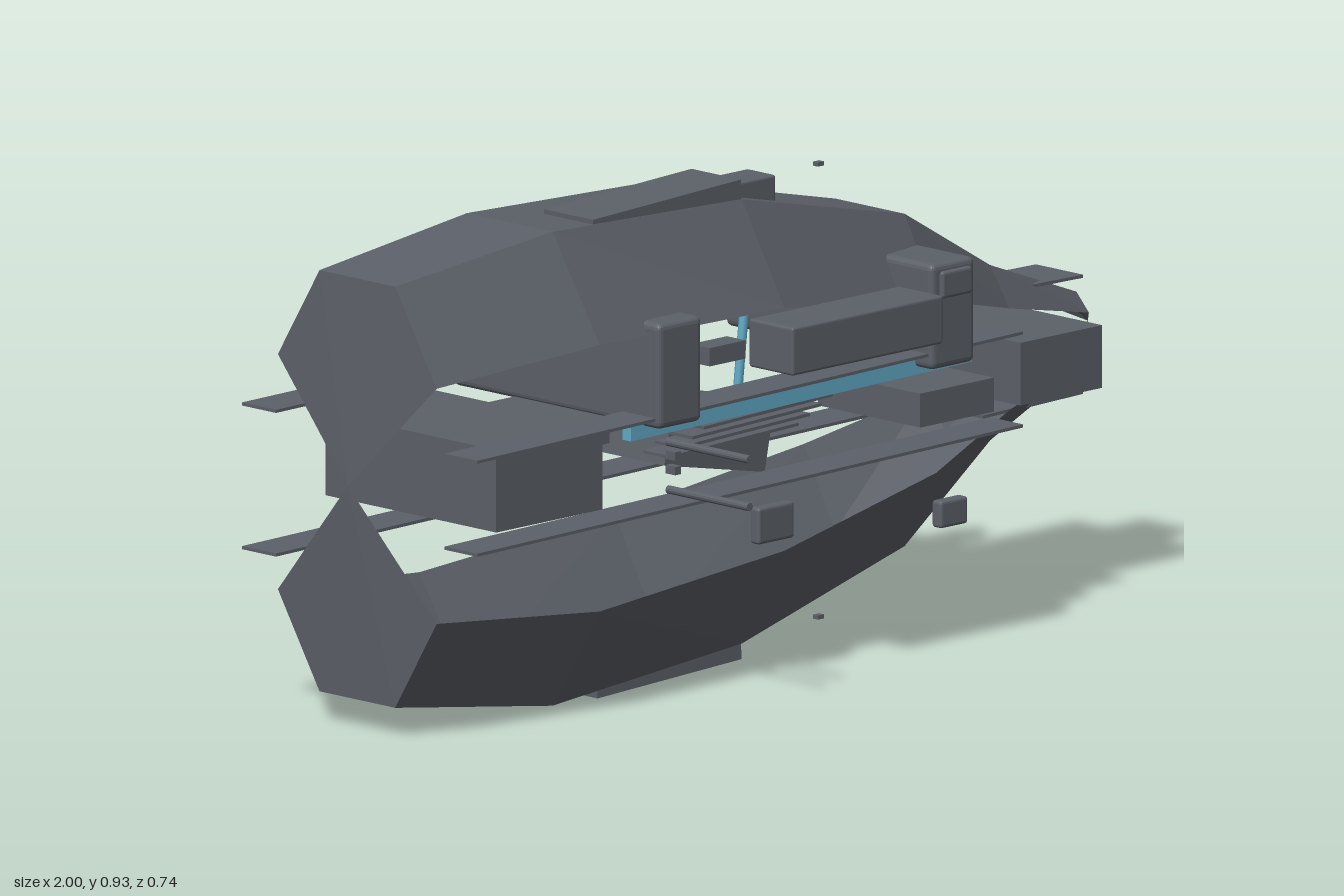
import * as THREE from 'three';
import { RoundedBoxGeometry } from 'three/addons/geometries/RoundedBoxGeometry.js';

const hullGrey = new THREE.MeshStandardMaterial({ color: 0x5c6068, flatShading: true, side: THREE.DoubleSide });
hullGrey.name = 'hullGrey';
const conduitBlue = new THREE.MeshStandardMaterial({ color: 0x62abc8 });
conduitBlue.name = 'conduitBlue';

// Hull stations: x, z centre, shoulder half width, ridge half width,
// upper shoulder y, upper ridge y, lower shoulder y, lower ridge y
const stations = [
  [-0.96, -0.10, 0, 0, 0.475, 0.475, 0.475, 0.475],
  [-0.935, -0.10, 0.21, 0.10, 0.69, 0.868, 0.24, 0.062],
  [-0.55, -0.083, 0.238, 0.113, 0.72, 0.917, 0.21, 0.01],
  [-0.05, -0.083, 0.225, 0.113, 0.71, 0.90, 0.245, 0.05],
  [0.40, -0.083, 0.175, 0.092, 0.645, 0.798, 0.315, 0.162],
  [0.67, -0.095, 0.11, 0.06, 0.575, 0.65, 0.38, 0.315],
  [0.93, -0.105, 0.07, 0.037, 0.518, 0.553, 0.438, 0.405],
  [1.0, -0.108, 0, 0, 0.48, 0.48, 0.48, 0.48],
];

// Lofted half shell, open along the sides
function hullShell(name, upper) {
  const rings = stations.map(([x, zc, ws, wt, us, ut, ls, lt]) => {
    const s = upper ? us : ls, t = upper ? ut : lt;
    const ring = [[x, s, zc + ws], [x, t, zc + wt], [x, t, zc - wt], [x, s, zc - ws]];
    return upper ? ring : ring.reverse();
  });
  const pos = [];
  for (let i = 0; i < rings.length - 1; i++) {
    for (let j = 0; j < 3; j++) {
      const a = rings[i][j], b = rings[i + 1][j], c = rings[i + 1][j + 1], d = rings[i][j + 1];
      if (i > 0) pos.push(...a, ...b, ...d);
      if (i < rings.length - 2) pos.push(...b, ...c, ...d);
    }
  }
  const geo = new THREE.BufferGeometry();
  geo.setAttribute('position', new THREE.Float32BufferAttribute(pos, 3));
  geo.computeVertexNormals();
  const mesh = new THREE.Mesh(geo, hullGrey);
  mesh.name = name;
  return mesh;
}

// Box from its extents, optionally rounded and tilted about z
function block(name, [x0, x1], [y0, y1], [z0, z1], { tilt = 0, radius = 0, material = hullGrey } = {}) {
  const size = [x1 - x0, y1 - y0, z1 - z0];
  const geo = radius ? new RoundedBoxGeometry(...size, 2, radius) : new THREE.BoxGeometry(...size);
  const mesh = new THREE.Mesh(geo, material);
  mesh.position.set((x0 + x1) / 2, (y0 + y1) / 2, (z0 + z1) / 2);
  mesh.rotation.z = tilt;
  mesh.name = name;
  return mesh;
}

// Thin plate running from height ya to height yb
function plate(name, [x0, x1], ya, yb, z) {
  const y = (ya + yb) / 2;
  return block(name, [x0, x1], [y - 0.003, y + 0.003], z, { tilt: Math.atan2(yb - ya, x1 - x0) });
}

export function createModel() {
  const g = new THREE.Group();
  g.name = 'spacecraft';
  g.add(hullShell('upperHull', true), hullShell('lowerHull', false));

  // Transverse pylons through the upper hull
  for (const x of [[-0.42, -0.305], [0.3, 0.415]])
    g.add(block('pylon', x, [0.54, 0.742], [-0.367, 0.182], { radius: 0.012 }));

  // Internal machinery blocks
  g.add(
    block('engineBlock', [-0.8, -0.52], [0.397, 0.555], [-0.32, 0.132]),
    block('engineCoupling', [-0.52, -0.42], [0.495, 0.545], [-0.2, 0.05]),
    block('reactor', [-0.215, 0.055], [0.385, 0.51], [-0.18, 0.0], { tilt: -0.2 }),
    block('forwardLocker', [0.4, 0.595], [0.395, 0.46], [-0.22, 0.05]),
    block('noseBlock', [0.66, 0.875], [0.397, 0.517], [-0.26, 0.055]),
  );

  // Long side plates and nose fins
  g.add(
    plate('rearPlateUpper', [-1, 0.6], 0.6, 0.613, [-0.34, -0.25]),
    plate('rearPlateLower', [-1, 0.6], 0.325, 0.345, [-0.34, -0.25]),
    plate('frontPlateUpper', [-0.89, 0.55], 0.552, 0.572, [0.085, 0.172]),
    plate('frontPlateLower', [-0.89, 0.55], 0.374, 0.394, [0.085, 0.172]),
    plate('noseFinUpper', [0.65, 0.915], 0.594, 0.59, [-0.16, -0.035]),
    plate('noseFinLower', [0.65, 0.915], 0.362, 0.368, [-0.16, -0.035]),
  );

  // Dorsal and ventral fairings following the hull slope
  g.add(
    block('dorsalFairing', [-0.44, -0.05], [0.878, 0.93], [-0.102, 0.028], { tilt: 0.04 }),
    block('dorsalHousing', [-0.05, 0.075], [0.865, 0.922], [-0.08, -0.005], { radius: 0.005 }),
    block('ventralFairing', [-0.43, -0.05], [0.012, 0.06], [-0.102, 0.028], { tilt: 0.04 }),
    block('ventralBox', [-0.18, -0.08], [0.012, 0.026], [-0.135, -0.105]),
  );
  for (const y of [0.045, 0.912])
    g.add(block('sensorStud', [0.222, 0.238], [y - 0.004, y + 0.004], [-0.055, -0.042]));

  // Free-standing side panel and small pods
  g.add(
    block('sidePanel', [-0.2, 0.197], [0.63, 0.722], [0.198, 0.315], { radius: 0.005 }),
    block('pylonPod', [0.32, 0.4], [0.675, 0.727], [0.17, 0.19], { radius: 0.006 }),
    block('lowerFrontPod', [0.32, 0.392], [0.235, 0.287], [0.16, 0.186], { radius: 0.006 }),
    block('midPod', [-0.155, -0.06], [0.278, 0.348], [0.155, 0.18], { radius: 0.006 }),
    block('upperMidPod', [-0.155, -0.06], [0.6, 0.635], [0.0, 0.05]),
    block('rearPodUpper', [0.487, 0.57], [0.663, 0.696], [-0.302, -0.273], { radius: 0.006 }),
    block('rearPodLower', [0.487, 0.57], [0.258, 0.291], [-0.302, -0.273], { radius: 0.006 }),
  );

  // Twin barrels on their mounts
  for (const y of [0.415, 0.506]) {
    const barrel = new THREE.Mesh(new THREE.CylinderGeometry(0.008, 0.008, 0.215, 12), hullGrey);
    barrel.rotation.x = Math.PI / 2;
    barrel.position.set(-0.368, y, 0.262);
    barrel.name = 'barrel';
    g.add(barrel);
  }
  for (const y of [0.455, 0.483])
    g.add(block('barrelMount', [-0.376, -0.36], [y - 0.008, y + 0.008], [0.155, 0.18]));

  // Thin slats across the middle
  for (let i = 0; i < 4; i++)
    g.add(plate('slat', [-0.3 + i * 0.03, 0.04 + i * 0.03], 0.455 + i * 0.014, 0.465 + i * 0.014, [0.02, 0.09]));

  // Blue conduit rail and upright pipe
  g.add(block('conduitRail', [-0.45, 0.45], [0.522, 0.562], [0.115, 0.137], { tilt: 0.012, material: conduitBlue }));
  const path = new THREE.CatmullRomCurve3([
    new THREE.Vector3(0.05, 0.42, -0.09), new THREE.Vector3(0.062, 0.53, -0.09), new THREE.Vector3(0.078, 0.67, -0.09),
  ]);
  const pipe = new THREE.Mesh(new THREE.TubeGeometry(path, 8, 0.009, 8), conduitBlue);
  pipe.name = 'conduitPipe';
  g.add(pipe);
  return g;
}
